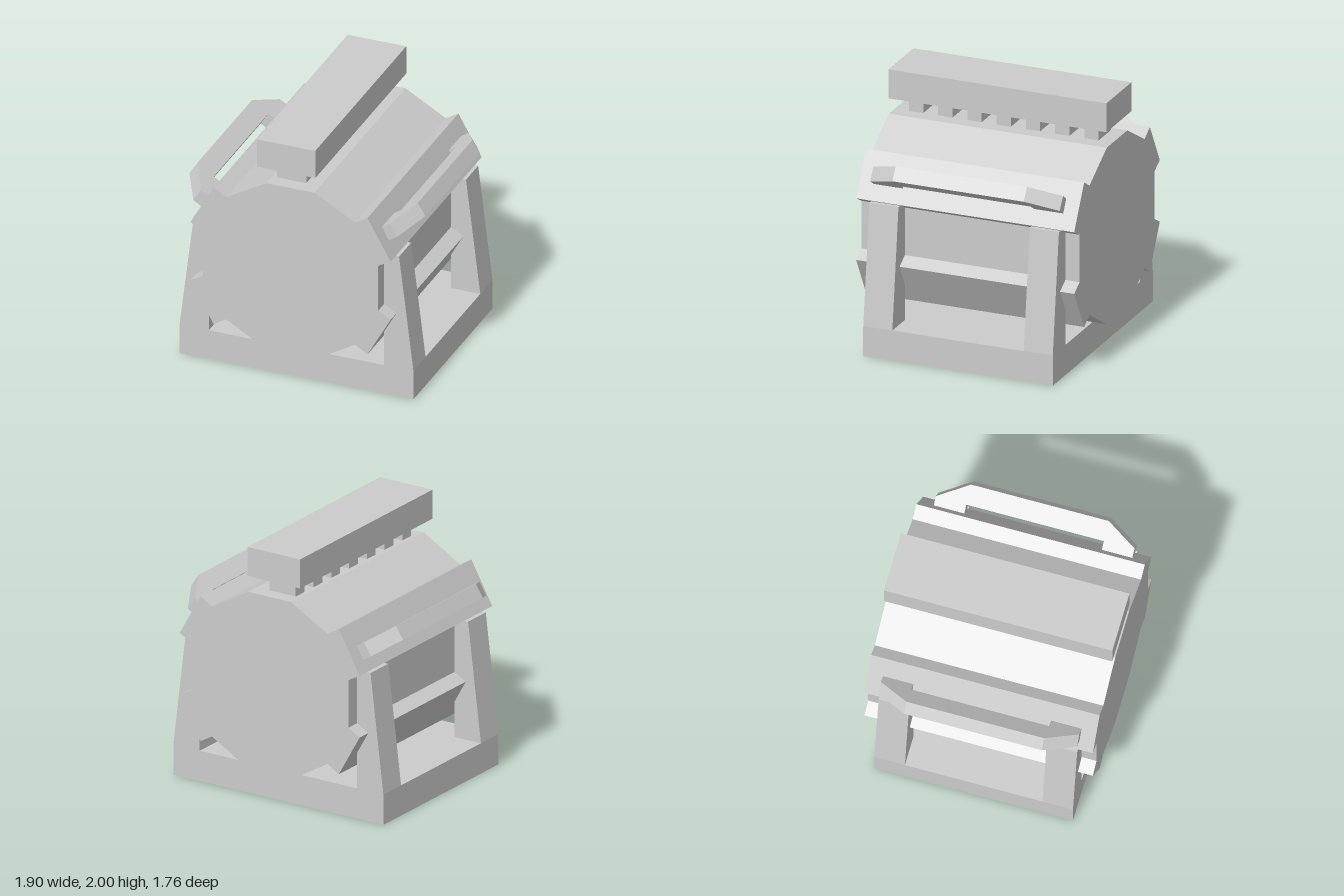
import * as THREE from 'three';

export function createModel() {
  const model = new THREE.Group();
  const grey = new THREE.MeshStandardMaterial({ color: 0xcccccc });
  grey.name = 'lightGrey';

  const add = (name, geometry, parent = model) => {
    const mesh = new THREE.Mesh(geometry, grey);
    mesh.name = name;
    parent.add(mesh);
    return mesh;
  };
  // Extrude a list of [x, y] corners from z0 to z1
  const prism = (points, z0, z1) => {
    const shape = new THREE.Shape(points.map(([x, y]) => new THREE.Vector2(x, y)));
    return new THREE.ExtrudeGeometry(shape, { depth: z1 - z0, bevelEnabled: false }).translate(0, 0, z0);
  };
  const box = (x0, x1, y0, y1, z0, z1) =>
    new THREE.BoxGeometry(x1 - x0, y1 - y0, z1 - z0)
      .translate((x0 + x1) / 2, (y0 + y1) / 2, (z0 + z1) / 2);

  const middle = 0.006; // the body sits slightly off centre
  const mirrorX = ([x, y]) => [2 * middle - x, y];

  // Barrel body with four diagonal armour ridges
  const half = [
    [0.198, 0.24], [0.523, 0.43], [0.624, 0.37], [0.81, 0.7], [0.71, 0.757],
    [0.71, 1.135], [0.81, 1.19], [0.624, 1.52], [0.523, 1.46], [0.198, 1.645],
  ];
  add('body', prism([...half, ...half.map(mirrorX).reverse()], -0.88, 0.88));

  // Cradle: solid base and four tapered legs
  add('base', box(-0.933, 0.945, 0, 0.24, -0.765, 0.765));
  const leg = [[0.71, 0.24], [0.945, 0.24], [0.83, 1.18], [0.795, 1.18], [0.71, 1.135]];
  for (const z of [-0.765, 0.53]) {
    add('leftLeg', prism(leg, z, z + 0.235));
    add('rightLeg', prism(leg.map(mirrorX).reverse(), z, z + 0.235));
  }

  // Top rail on a row of posts
  add('topRail', box(-0.265, 0.205, 1.77, 2, -0.88, 0.88));
  for (let i = 0; i < 7; i++) {
    const z = 0.708 - i * 0.236;
    add('railPost', box(-0.15, 0.085, 1.63, 1.775, z - 0.058, z + 0.058));
  }

  // Side handles: bracket outline as [outward, along z]
  const bracket = [
    [-0.01, -0.765], [0.075, -0.765], [0.228, -0.53], [0.228, 0.53], [0.075, 0.765],
    [-0.01, 0.765], [-0.01, 0.53], [0.07, 0.53], [0.07, -0.53], [-0.01, -0.53],
  ];
  const angle = THREE.MathUtils.degToRad(33);
  const c = Math.cos(angle), s = Math.sin(angle);
  const placement = new THREE.Matrix4().makeBasis(
    new THREE.Vector3(c, s, 0), new THREE.Vector3(0, 0, 1), new THREE.Vector3(s, -c, 0),
  ).setPosition(0.69, 1.4, 0);
  const handle = prism(bracket, 0, 0.115).applyMatrix4(placement);
  add('leftHandle', handle);
  const rightHandle = add('rightHandle', handle);
  rightHandle.rotation.y = Math.PI;
  rightHandle.position.set(-0.007, -0.03, 0);

  return model;
}
